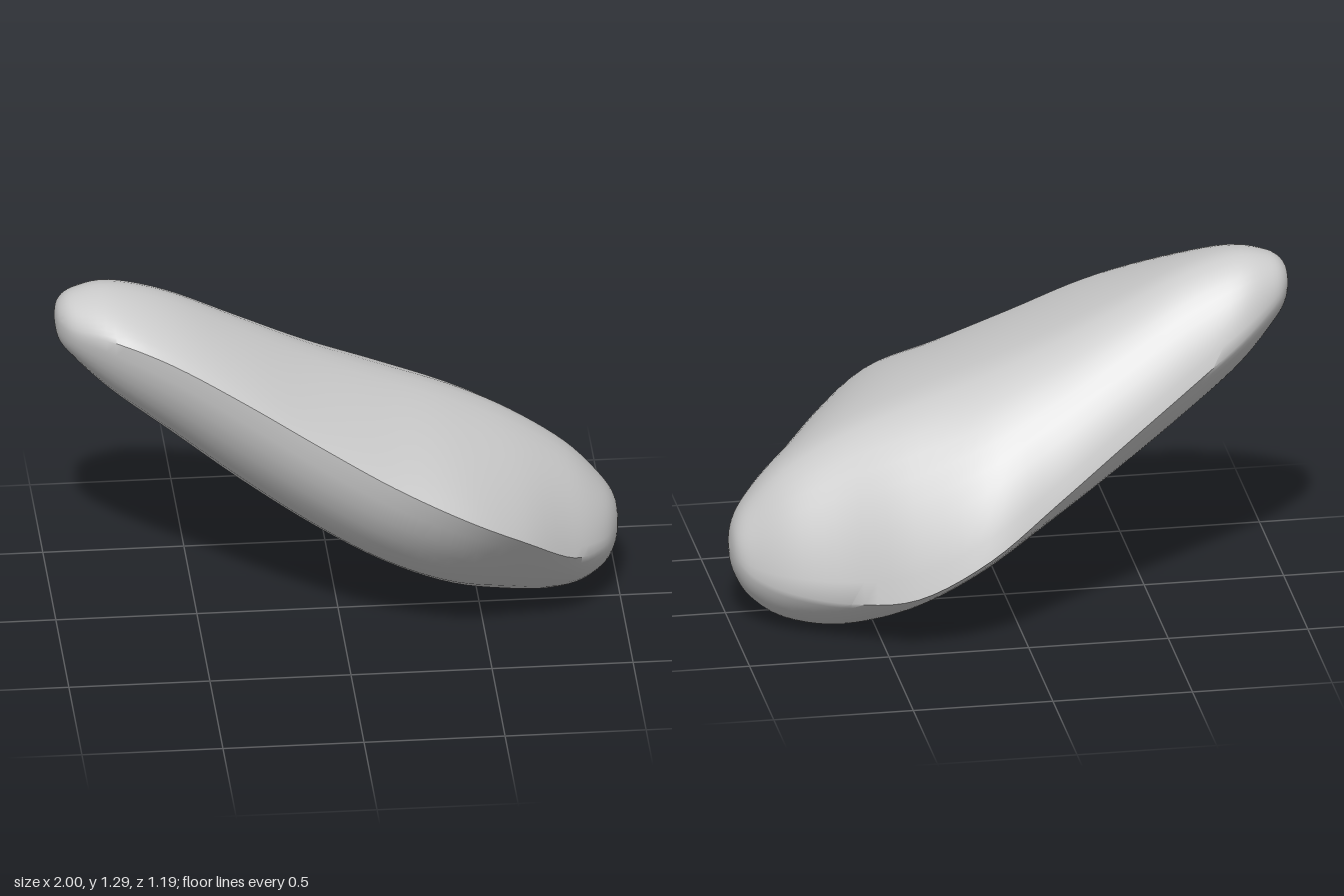
import * as THREE from 'three';
import { toCreasedNormals } from 'three/addons/utils/BufferGeometryUtils.js';

// Cross-sections along x: x, top y, bottom y, front edge z, y, back edge z, y,
// edge sharpness, flatness of the front belly
const STATIONS = [
  [-1.0, 1.18, 1.18, -0.08, 1.18, -0.08, 1.18, 0, 0],
  [-0.985, 1.235, 1.095, -0.01, 1.18, -0.155, 1.17, 0, 0],
  [-0.93, 1.275, 1.02, 0.07, 1.18, -0.225, 1.13, 0.3, 0],
  [-0.8, 1.29, 0.88, 0.165, 1.19, -0.315, 1.04, 0.7, 0],
  [-0.6, 1.235, 0.715, 0.265, 1.14, -0.38, 0.9, 1, 0],
  [-0.35, 1.115, 0.52, 0.375, 1.03, -0.45, 0.725, 1, 0],
  [-0.1, 0.995, 0.345, 0.46, 0.895, -0.525, 0.55, 1, 0],
  [0.15, 0.895, 0.19, 0.54, 0.765, -0.595, 0.38, 1, 0.15],
  [0.4, 0.805, 0.065, 0.595, 0.65, -0.545, 0.23, 1, 0.5],
  [0.62, 0.705, 0.003, 0.5, 0.5, -0.425, 0.18, 0.9, 0.85],
  [0.81, 0.58, 0.025, 0.315, 0.33, -0.325, 0.19, 0.7, 0.7],
  [0.93, 0.455, 0.1, 0.15, 0.28, -0.225, 0.22, 0.4, 0.4],
  [0.985, 0.365, 0.19, 0.02, 0.28, -0.15, 0.27, 0, 0],
  [1.0, 0.28, 0.28, -0.07, 0.28, -0.07, 0.28, 0, 0],
];
const STEPS = 5; // rings between two stations
const QUARTER = 10; // segments per quarter of a ring

// Smooth interpolation of every station column
function stationAt(t) {
  const last = STATIONS.length - 1;
  const i = Math.min(Math.floor(t), last - 1);
  const u = t - i;
  const at = (k) => STATIONS[Math.max(0, Math.min(last, k))];
  return STATIONS[0].map((_, c) => {
    const [a, b, d, e] = [at(i - 1)[c], at(i)[c], at(i + 1)[c], at(i + 2)[c]];
    return b + 0.5 * u * (d - a + u * (2 * a - 5 * b + 4 * d - e + u * (3 * (b - d) + e - a)));
  });
}

// Quarter arc from a side edge to a crest: elliptic at flatness 0, almost straight at 1
function quarter(edge, crest, flat) {
  const dz = edge.x - crest.x, dy = crest.y - edge.y;
  return new THREE.CubicBezierCurve(
    edge,
    new THREE.Vector2(edge.x - dz * 0.3 * flat, edge.y + dy * (0.55 - 0.17 * flat)),
    new THREE.Vector2(crest.x + dz * (0.55 - 0.31 * flat), crest.y),
    crest
  ).getPoints(QUARTER);
}

// Closed ring: front edge, crest, back edge, belly
function ring(t) {
  const [x, top, bottom, fz, fy, bz, by, sharp, bellyFlat] = stationAt(t);
  const mid = (fz + bz) / 2;
  const front = new THREE.Vector2(fz, fy), back = new THREE.Vector2(bz, by);
  const crest = new THREE.Vector2(THREE.MathUtils.lerp(mid, -0.1, sharp), top);
  const belly = new THREE.Vector2(THREE.MathUtils.lerp(mid, -0.16, sharp), bottom);
  const sides = [
    quarter(front, crest, sharp * 0.7),
    quarter(back, crest, sharp * 0.35).reverse(),
    quarter(back, belly, sharp * 0.75),
    quarter(front, belly, bellyFlat).reverse(),
  ];
  return sides.flatMap((s) => s.slice(0, -1)).map((p) => [x, p.y, p.x]);
}

function stoneGeometry() {
  const rings = (STATIONS.length - 1) * STEPS;
  const n = QUARTER * 4;
  const positions = [], index = [];
  for (let i = 0; i <= rings; i++) positions.push(...ring(i / STEPS).flat());
  for (let i = 0; i < rings; i++) {
    for (let j = 0; j < n; j++) {
      const a = i * n + j, b = i * n + ((j + 1) % n);
      // the first and last rings shrink to a point
      if (i < rings - 1) index.push(a, a + n, b + n);
      else index.push(a, a + n, b);
      if (i > 0 && i < rings - 1) index.push(a, b + n, b);
    }
  }
  const geometry = new THREE.BufferGeometry();
  geometry.setAttribute('position', new THREE.Float32BufferAttribute(positions, 3));
  geometry.setIndex(index);
  return toCreasedNormals(geometry, 0.8);
}

export function createModel() {
  const group = new THREE.Group();
  group.name = 'stone';
  const body = new THREE.Mesh(stoneGeometry(), new THREE.MeshStandardMaterial({ color: 0xcccccc }));
  body.name = 'stoneBody';
  group.add(body);
  return group;
}
